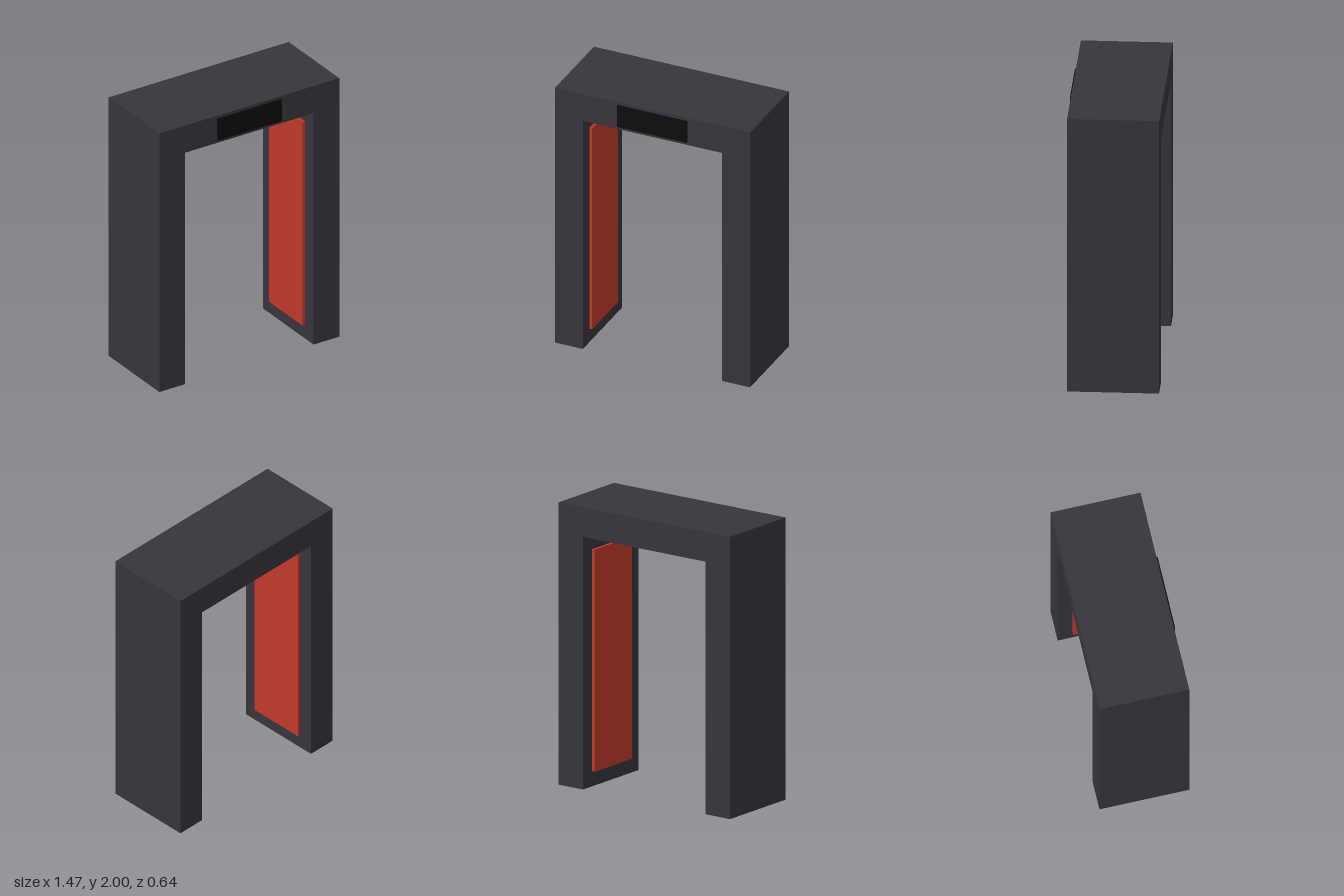
import * as THREE from 'three';

export function createModel() {
  const model = new THREE.Group();
  const material = (name, color) => {
    const m = new THREE.MeshStandardMaterial({ color });
    m.name = name;
    return m;
  };
  const charcoal = material('charcoal', 0x37353c);
  const red = material('red', 0xc0392b);
  const black = material('black', 0x0d0d0d);

  const outer = 0.735, inner = 0.525, underside = 1.79;
  const back = -0.32, depth = 0.63, midZ = back + depth / 2;

  // Archway frame: two legs and a lintel in one outline
  const outline = new THREE.Shape([
    [-outer, 0], [-inner, 0], [-inner, underside], [inner, underside],
    [inner, 0], [outer, 0], [outer, 2], [-outer, 2],
  ].map(([x, y]) => new THREE.Vector2(x, y)));
  const frame = new THREE.Mesh(
    new THREE.ExtrudeGeometry(outline, { depth, bevelEnabled: false }), charcoal);
  frame.name = 'frame';
  frame.position.z = back;
  model.add(frame);

  const addBox = (name, mat, w, h, d, x, y, z) => {
    const mesh = new THREE.Mesh(new THREE.BoxGeometry(w, h, d), mat);
    mesh.name = name;
    mesh.position.set(x, y, z);
    model.add(mesh);
  };

  // Raised panels on the inner faces of the legs
  for (const [name, side] of [['leftPanel', 1], ['rightPanel', -1]]) {
    addBox(name, red, 0.021, 1.575, 0.42, side * (inner - 0.0105), 0.893, midZ);
  }

  // Display plate on the front of the lintel
  addBox('display', black, 0.525, 0.168, 0.0098, 0, 1.895, back + depth + 0.0049);

  return model;
}
